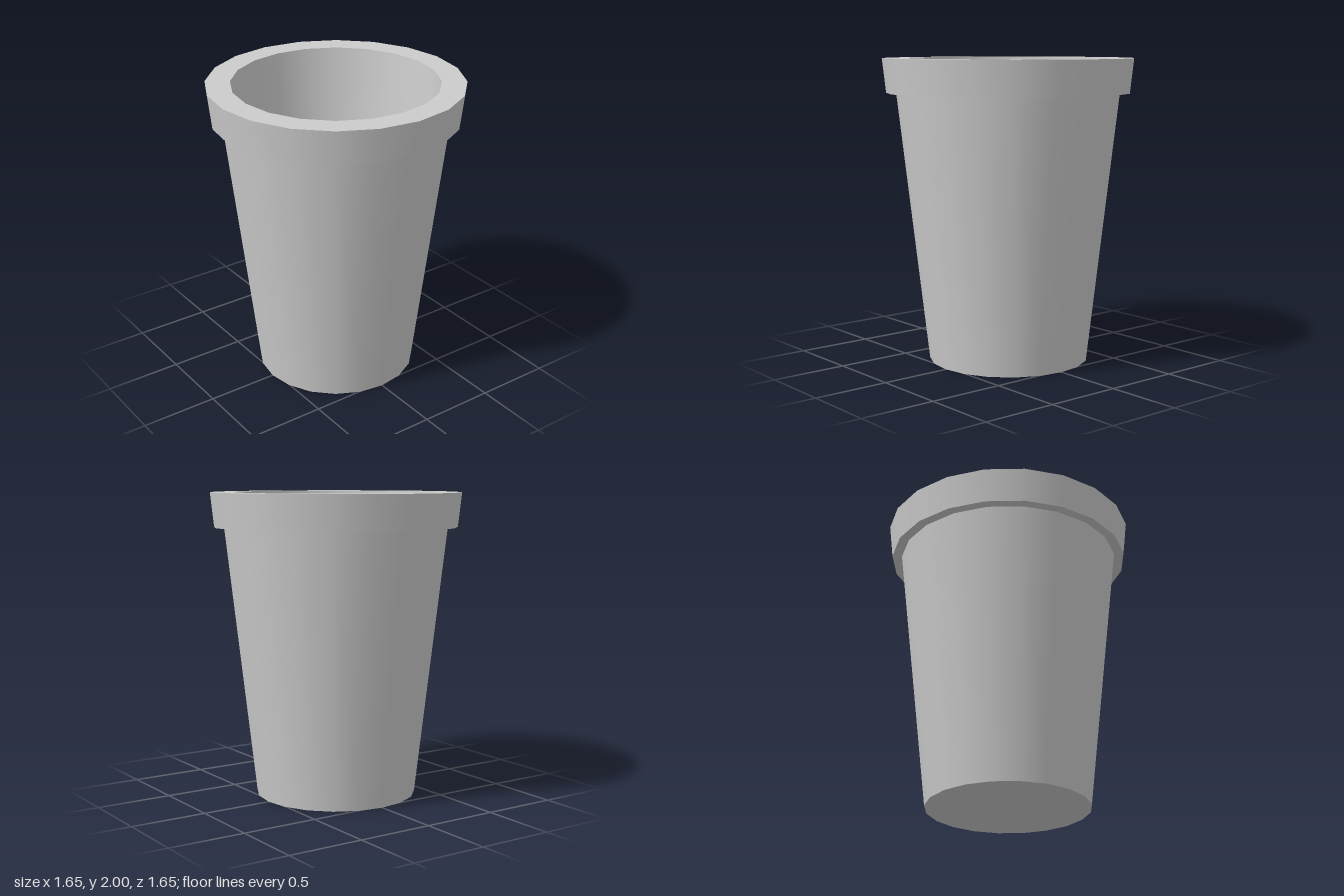
import * as THREE from 'three';

const SIDES = 20;

// Closed profile (radius, height), from the centre of the base round to the centre of the floor
const profile = [
  ['base', 0, 0],
  ['outerWall', 0.53, 0],
  ['rimUnderside', 0.735, 1.775],
  ['rimSide', 0.8, 1.775],
  ['rimTop', 0.825, 2],
  ['innerWall', 0.665, 2],
  ['floor', 0.465, 0.16],
  ['end', 0, 0.16],
];

export function createModel() {
  const pot = new THREE.Group();
  pot.name = 'flowerPot';
  const material = new THREE.MeshStandardMaterial({ color: 0xcccccc });

  // One band per profile step: smooth around the pot, sharp between bands
  for (let i = 0; i < profile.length - 1; i++) {
    const [name, r0, y0] = profile[i];
    const [, r1, y1] = profile[i + 1];
    const points = [new THREE.Vector2(r0, y0), new THREE.Vector2(r1, y1)];
    const band = new THREE.Mesh(new THREE.LatheGeometry(points, SIDES), material);
    band.name = name;
    pot.add(band);
  }
  return pot;
}
